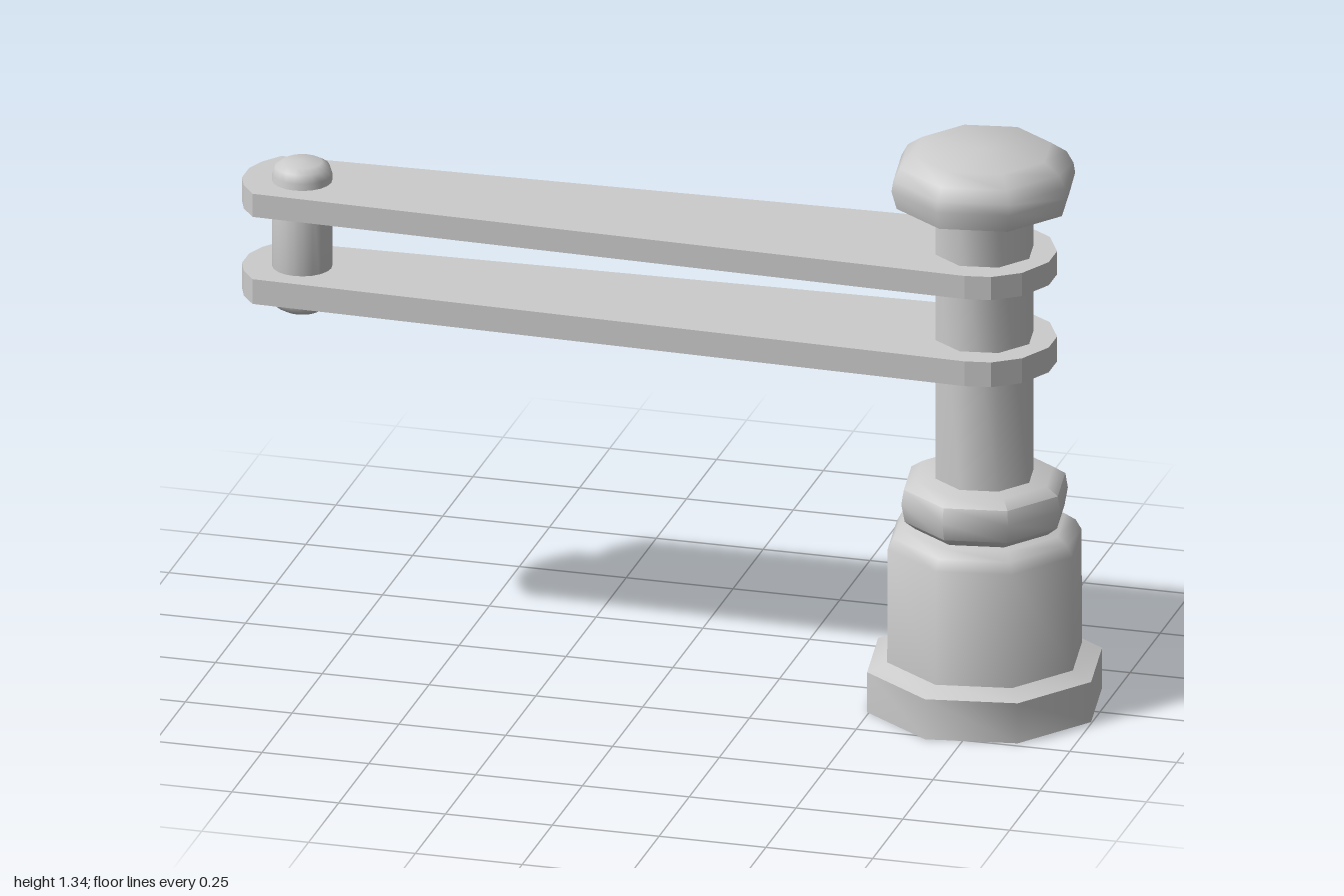
import * as THREE from 'three';
import { toCreasedNormals } from 'three/addons/utils/BufferGeometryUtils.js';

const POST_X = 0.73;
const PIN_X = -0.865;
const TURN = THREE.MathUtils.degToRad(31.5); // twist of the eight-sided parts

export function createModel() {
  const model = new THREE.Group();
  const grey = new THREE.MeshStandardMaterial({ color: 0xcccccc });
  const greyShell = new THREE.MeshStandardMaterial({ color: 0xcccccc, side: THREE.DoubleSide });

  function add(name, geometry, x, y, z, material = grey) {
    const mesh = new THREE.Mesh(geometry, material);
    mesh.name = name;
    mesh.position.set(x, y, z);
    model.add(mesh);
  }

  // Profile of [radius, height] pairs, bottom to top, turned around y
  function turned(profile, sides, start = 0) {
    const points = profile.map(([r, y]) => new THREE.Vector2(r, y));
    return toCreasedNormals(new THREE.LatheGeometry(points, sides, start), 0.9);
  }

  // Hollow foot and body, open underneath
  add('base', turned([
    [0.275, 0], [0.275, 0.097], [0.228, 0.116], [0.227, 0.39],
    [0.213, 0.415], [0.188, 0.432], [0, 0.432],
  ], 8, TURN), POST_X, 0, 0, greyShell);

  // Rounded collar above the body
  add('collar', turned([
    [0, 0.43], [0.16, 0.43], [0.187, 0.452], [0.195, 0.495],
    [0.189, 0.53], [0.16, 0.549], [0, 0.549],
  ], 8, TURN), POST_X, 0, 0);

  // Upright post
  add('post', turned([[0.115, 0.54], [0.115, 1.2]], 8, TURN), POST_X, 0, 0);

  // Faceted knob
  add('knob', turned([
    [0, 1.19], [0.125, 1.19], [0.203, 1.212], [0.215, 1.255],
    [0.211, 1.28], [0.195, 1.309], [0.158, 1.334], [0, 1.337],
  ], 8, TURN), POST_X - 0.003, 0, 0);

  // Two matching tapered arms; outline mirrored across its long axis
  const half = [
    [-1, 0.03], [-0.983, 0.075], [-0.95, 0.12],
    [0.73, 0.168], [0.79, 0.158], [0.85, 0.115], [0.89, 0.035],
  ];
  const outline = [...half, ...half.map(([x, z]) => [x, -z]).reverse()];
  const armShape = new THREE.Shape(outline.map(([x, z]) => new THREE.Vector2(x, z)));
  for (const [name, y, height] of [['lowerArm', 0.825, 0.06], ['upperArm', 1.036, 0.056]]) {
    const geometry = new THREE.ExtrudeGeometry(armShape, { depth: height, bevelEnabled: false });
    geometry.rotateX(-Math.PI / 2);
    add(name, geometry, 0, y, 0);
  }

  // Round pin with softened ends joining the arm tips
  add('pin', turned([
    [0, 0.78], [0.045, 0.783], [0.062, 0.793], [0.068, 0.812],
    [0.068, 1.108], [0.062, 1.127], [0.045, 1.137], [0, 1.14],
  ], 20), PIN_X, 0, 0.008);

  return model;
}
